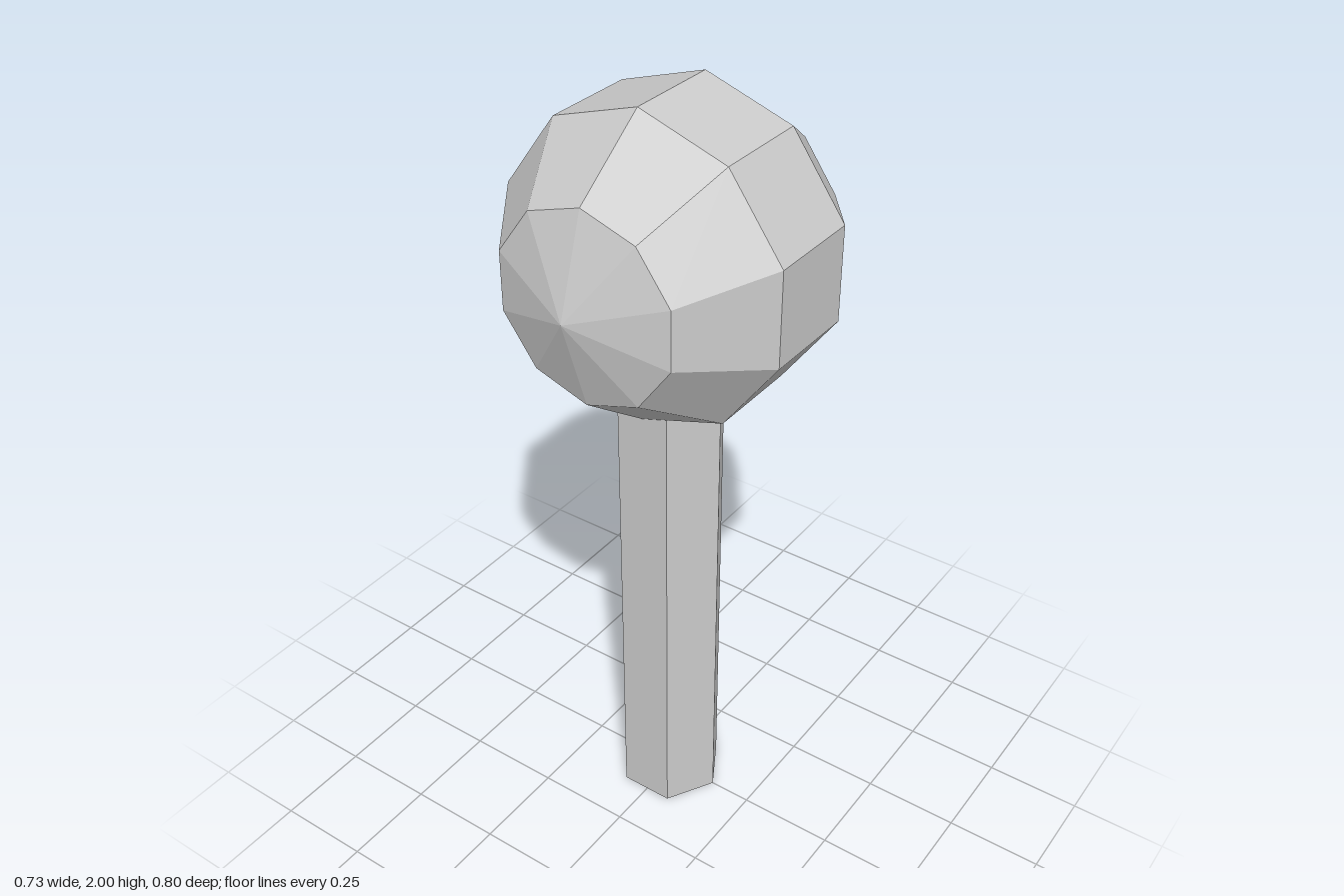
import * as THREE from 'three';

export function createModel() {
  const group = new THREE.Group();
  const material = new THREE.MeshStandardMaterial({ color: 0xcccccc, flatShading: true });

  const addPart = (name, geometry, x, y) => {
    const mesh = new THREE.Mesh(geometry, material);
    mesh.name = name;
    mesh.position.set(x, y, 0);
    group.add(mesh);
  };

  // Hexagonal stem, corners on the x axis, top buried in the head
  const stemHeight = 1.4;
  const stem = new THREE.CylinderGeometry(0.14, 0.14, stemHeight, 6, 1, false, Math.PI / 2);
  addPart('stem', stem, -0.002, stemHeight / 2);

  // Faceted ball head with its poles facing front and back, a corner at the top
  const head = new THREE.SphereGeometry(0.402, 10, 5, Math.PI / 2);
  head.rotateX(Math.PI / 2);
  addPart('head', head, 0, 1.618);

  return group;
}
